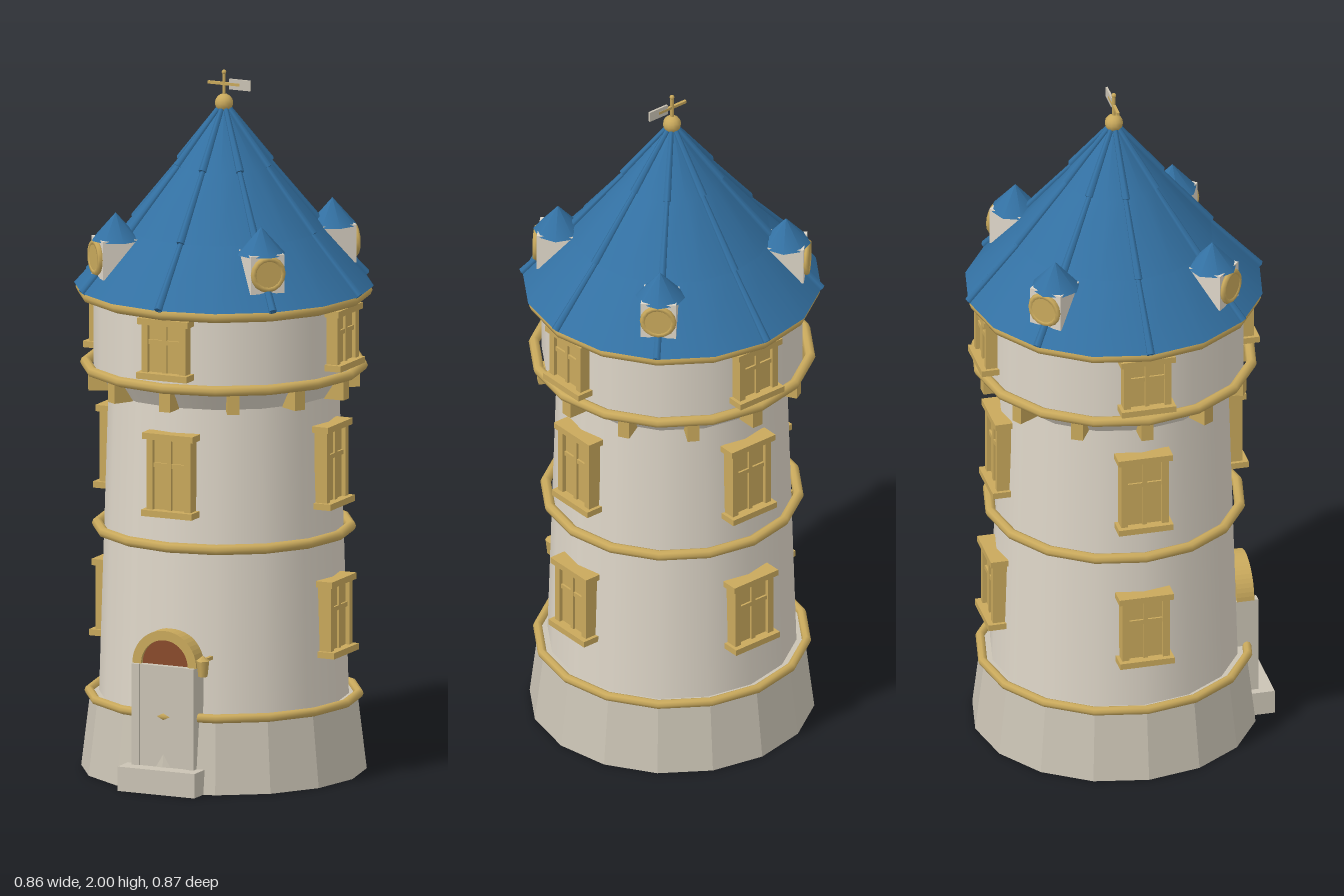
import * as THREE from 'three';

const mat = (name, color, extra = {}) => {
  const m = new THREE.MeshStandardMaterial({ color, ...extra });
  m.name = name;
  return m;
};

export function createModel() {
  const plaster = mat('plaster', 0xded6c8);
  const stone = mat('stone', 0xcac3b4, { flatShading: true });
  const gold = mat('gold', 0xc9a95c);
  const blue = mat('blueRoof', 0x3371a3);
  const wood = mat('wood', 0x8a4b2c);

  const SIDES = 16;
  const model = new THREE.Group();
  model.name = 'tower';
  const tower = new THREE.Group();
  tower.name = 'towerBody';
  tower.position.z = -0.006;
  model.add(tower);

  const add = (parent, name, geo, material, x = 0, y = 0, z = 0) => {
    const m = new THREE.Mesh(geo, material);
    m.name = name;
    m.position.set(x, y, z);
    parent.add(m);
    return m;
  };
  const box = (parent, name, w, h, d, material, x, y, z) =>
    add(parent, name, new THREE.BoxGeometry(w, h, d), material, x, y, z);
  const frustum = (name, rTop, rBot, y0, y1, material, open = false) =>
    add(tower, name, new THREE.CylinderGeometry(rTop, rBot, y1 - y0, SIDES, 1, open), material, 0, (y0 + y1) / 2, 0);
  // group turned to face outwards at an angle around the tower
  const facing = (name, angle) => {
    const g = new THREE.Group();
    g.name = name;
    g.rotation.y = angle;
    tower.add(g);
    return g;
  };

  // stone foot, tapering walls, flared gallery
  frustum('stoneBase', 0.376, 0.402, 0, 0.215, stone);
  frustum('wall', 0.325, 0.352, 0.2, 1.09, plaster, true);
  frustum('flare', 0.366, 0.325, 1.09, 1.15, plaster, true);
  frustum('galleryWall', 0.368, 0.368, 1.14, 1.385, plaster, true);

  // gold ring mouldings: [radius, height, thickness]
  for (const [r, y, t] of [[0.38, 0.215, 0.013], [0.357, 0.695, 0.015], [0.39, 1.157, 0.015], [0.4, 1.373, 0.018]]) {
    const band = add(tower, 'ringMoulding', new THREE.TorusGeometry(r, t, 8, SIDES), gold, 0, y, 0);
    band.rotation.x = Math.PI / 2;
  }

  // brackets under the gallery
  for (let i = 0; i < 12; i++) {
    const g = facing('bracket', (i * Math.PI) / 6);
    box(g, 'bracketBlock', 0.034, 0.055, 0.07, gold, 0, 1.115, 0.347);
  }

  // windows: frame, cross bars, lintel and sill
  const makeWindow = (angle, y0, y1, r) => {
    const g = facing('window', angle);
    const h = y1 - y0, y = (y0 + y1) / 2;
    box(g, 'windowPane', 0.12, h, 0.02, gold, 0, y, r - 0.002);
    for (const s of [-1, 1]) box(g, 'windowJamb', 0.02, h, 0.04, gold, s * 0.059, y, r);
    box(g, 'windowMullion', 0.013, h, 0.03, gold, 0, y, r);
    box(g, 'windowTransom', 0.11, 0.013, 0.028, gold, 0, y + h * 0.12, r);
    box(g, 'windowLintel', 0.158, 0.018, 0.05, gold, 0, y1, r + 0.003);
    box(g, 'windowSill', 0.158, 0.018, 0.058, gold, 0, y0, r + 0.006);
  };
  for (let i = 0; i < 4; i++) {
    const a = (i * Math.PI) / 2;
    if (i > 0) makeWindow(a, 0.365, 0.567, 0.348);
    makeWindow(a, 0.79, 1.01, 0.336);
    makeWindow(a, 1.19, 1.345, 0.368);
  }

  // doorway with arched top, doorstep and lantern
  const door = facing('doorway', 0);
  box(door, 'doorPanel', 0.15, 0.3, 0.09, stone, 0, 0.21, 0.344);
  for (const s of [-1, 1]) box(door, 'doorJamb', 0.024, 0.3, 0.07, stone, s * 0.085, 0.21, 0.359);
  const half = new THREE.CylinderGeometry(0.08, 0.08, 0.04, 20, 1, false, Math.PI / 2, Math.PI);
  half.rotateX(Math.PI / 2);
  add(door, 'archPanel', half, wood, 0, 0.36, 0.351);
  const arch = new THREE.Shape();
  arch.absarc(0, 0, 0.1, 0, Math.PI, false);
  arch.absarc(0, 0, 0.073, Math.PI, 0, true);
  add(door, 'doorArch', new THREE.ExtrudeGeometry(arch, { depth: 0.05, bevelEnabled: false, curveSegments: 12 }),
    gold, 0, 0.36, 0.332);
  box(door, 'doorStep', 0.24, 0.07, 0.12, stone, 0, 0.035, 0.376);
  box(door, 'lanternArm', 0.01, 0.01, 0.06, gold, 0.122, 0.385, 0.36);
  add(door, 'lantern', new THREE.CylinderGeometry(0.018, 0.013, 0.045, 6), gold, 0.122, 0.363, 0.385);
  add(door, 'lanternCap', new THREE.ConeGeometry(0.02, 0.015, 6), gold, 0.122, 0.393, 0.385);

  // three overlapping roof tiers with ribs: [bottom radius, bottom y, top radius, top y]
  const tiers = [[0.422, 1.385, 0.262, 1.565], [0.28, 1.55, 0.122, 1.745], [0.138, 1.73, 0.006, 1.9]];
  tiers.forEach(([r0, y0, r1, y1]) => {
    frustum('roofTier', r1, r0, y0, y1, blue);
    const len = Math.hypot(r0 - r1, y1 - y0);
    for (let i = 0; i < 8; i++) {
      const g = facing('roofRib', (i * Math.PI) / 4);
      const rib = add(g, 'ribBar', new THREE.CylinderGeometry(0.007, 0.012, len, 6), blue,
        0, (y0 + y1) / 2 + 0.002, (r0 + r1) / 2);
      rib.rotation.x = -Math.atan2(r0 - r1, y1 - y0);
    }
  });

  // four dormers on the diagonals
  for (let i = 0; i < 4; i++) {
    const g = facing('dormer', Math.PI / 4 + (i * Math.PI) / 2);
    box(g, 'dormerBody', 0.1, 0.11, 0.12, plaster, 0, 1.485, 0.317);
    const disc = add(g, 'dormerWindow', new THREE.CylinderGeometry(0.043, 0.043, 0.02, 16), gold, 0, 1.487, 0.378);
    disc.rotation.x = Math.PI / 2;
    add(g, 'dormerWindowRim', new THREE.TorusGeometry(0.043, 0.009, 6, 16), gold, 0, 1.487, 0.382);
    add(g, 'dormerRoof', new THREE.ConeGeometry(0.07, 0.078, 8), blue, 0, 1.573, 0.322);
  }

  // finial and weather vane
  add(tower, 'finialBall', new THREE.SphereGeometry(0.026, 12, 8), gold, 0, 1.905, 0);
  add(tower, 'vanePole', new THREE.CylinderGeometry(0.005, 0.005, 0.1, 8), gold, 0, 1.945, 0);
  add(tower, 'vaneTip', new THREE.SphereGeometry(0.007, 8, 6), gold, 0, 1.993, 0);
  box(tower, 'vaneArm', 0.1, 0.008, 0.008, gold, 0, 1.96, 0);
  box(tower, 'vaneFlag', 0.065, 0.03, 0.006, stone, 0.05, 1.96, 0);

  return model;
}
